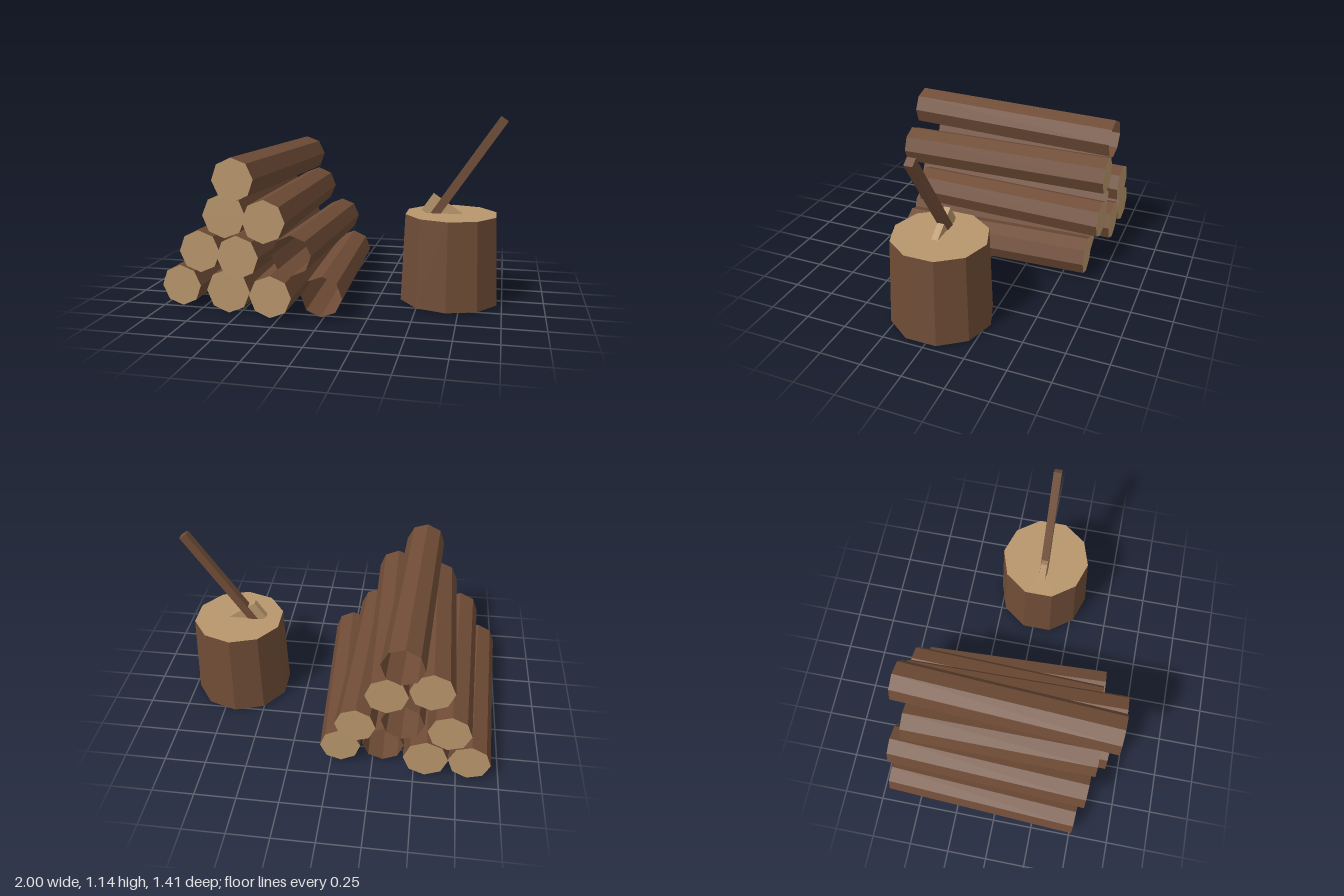
import * as THREE from 'three';

const bark = new THREE.MeshStandardMaterial({ color: 0x6f4c36, flatShading: true, side: THREE.DoubleSide });
bark.name = 'bark';
const cutWood = new THREE.MeshStandardMaterial({ color: 0xb8966c, flatShading: true, side: THREE.DoubleSide });
cutWood.name = 'cutWood';

// Upright faceted tube with optional end discs
function makeTrunk(name, rTop, rBottom, length, sides, topMat, bottomMat) {
  const group = new THREE.Group();
  group.name = name;
  const side = new THREE.Mesh(new THREE.CylinderGeometry(rTop, rBottom, length, sides, 1, true), bark);
  side.name = name + 'Bark';
  group.add(side);
  const addEnd = (r, sign, mat) => {
    if (!mat) return;
    const end = new THREE.Mesh(new THREE.CircleGeometry(r, sides, Math.PI / 2), mat);
    end.rotation.x = -sign * Math.PI / 2;
    end.position.y = sign * length / 2;
    end.name = name + 'End';
    group.add(end);
  };
  addEnd(rTop, 1, topMat);
  addEnd(rBottom, -1, bottomMat);
  return group;
}

// Logs: radius, front x y z, back x y z, front closed, back closed
const LOGS = [
  [0.124, -0.877, 0.137, 0.515, -0.82, 0.136, -0.69, true, true],
  [0.132, -0.566, 0.133, 0.56, -0.566, 0.133, -0.685, true, true],
  [0.124, -0.288, 0.138, 0.637, -0.31, 0.135, -0.6, true, false],
  [0.12, -0.005, 0.135, 0.567, -0.058, 0.137, -0.64, false, true],
  [0.126, -0.738, 0.362, 0.557, -0.69, 0.362, -0.7, true, true],
  [0.126, -0.474, 0.362, 0.647, -0.42, 0.36, -0.64, true, false],
  [0.119, -0.187, 0.362, 0.548, -0.15, 0.36, -0.695, false, true],
  [0.131, -0.575, 0.583, 0.577, -0.575, 0.583, -0.615, true, true],
  [0.124, -0.3, 0.585, 0.7, -0.323, 0.582, -0.675, true, true],
  [0.124, -0.479, 0.811, 0.685, -0.405, 0.803, -0.685, true, false],
];

function makeLog([r, x0, y0, z0, x1, y1, z1, front, back]) {
  const a = new THREE.Vector3(x0, y0, z0), b = new THREE.Vector3(x1, y1, z1);
  const dir = a.clone().sub(b);
  const log = makeTrunk('log', r, r, dir.length(), 8, front && cutWood, back && cutWood);
  log.position.copy(a).add(b).multiplyScalar(0.5);
  log.quaternion.setFromUnitVectors(new THREE.Vector3(0, 1, 0), dir.normalize());
  return log;
}

export function createModel() {
  const model = new THREE.Group();
  model.name = 'woodpileAndChoppingBlock';

  const pile = new THREE.Group();
  pile.name = 'logPile';
  LOGS.forEach((spec) => pile.add(makeLog(spec)));
  model.add(pile);

  // Chopping block
  const stump = makeTrunk('stump', 0.283, 0.305, 0.537, 10, cutWood, bark);
  stump.position.set(0.68, 0.277, 0.026);
  model.add(stump);

  // Axe sunk into the block
  const axe = new THREE.Group();
  axe.name = 'axe';
  const tilt = -0.595;
  const handle = new THREE.Mesh(new THREE.BoxGeometry(0.052, 0.74, 0.05), bark);
  handle.name = 'axeHandle';
  handle.position.set(0.77, 0.816, 0.03);
  handle.rotation.z = tilt;
  const head = new THREE.Mesh(new THREE.BoxGeometry(0.28, 0.122, 0.04), cutWood);
  head.name = 'axeHead';
  head.position.set(0.651, 0.535, 0.03);
  head.rotation.z = tilt;
  axe.add(handle, head);
  model.add(axe);

  return model;
}
